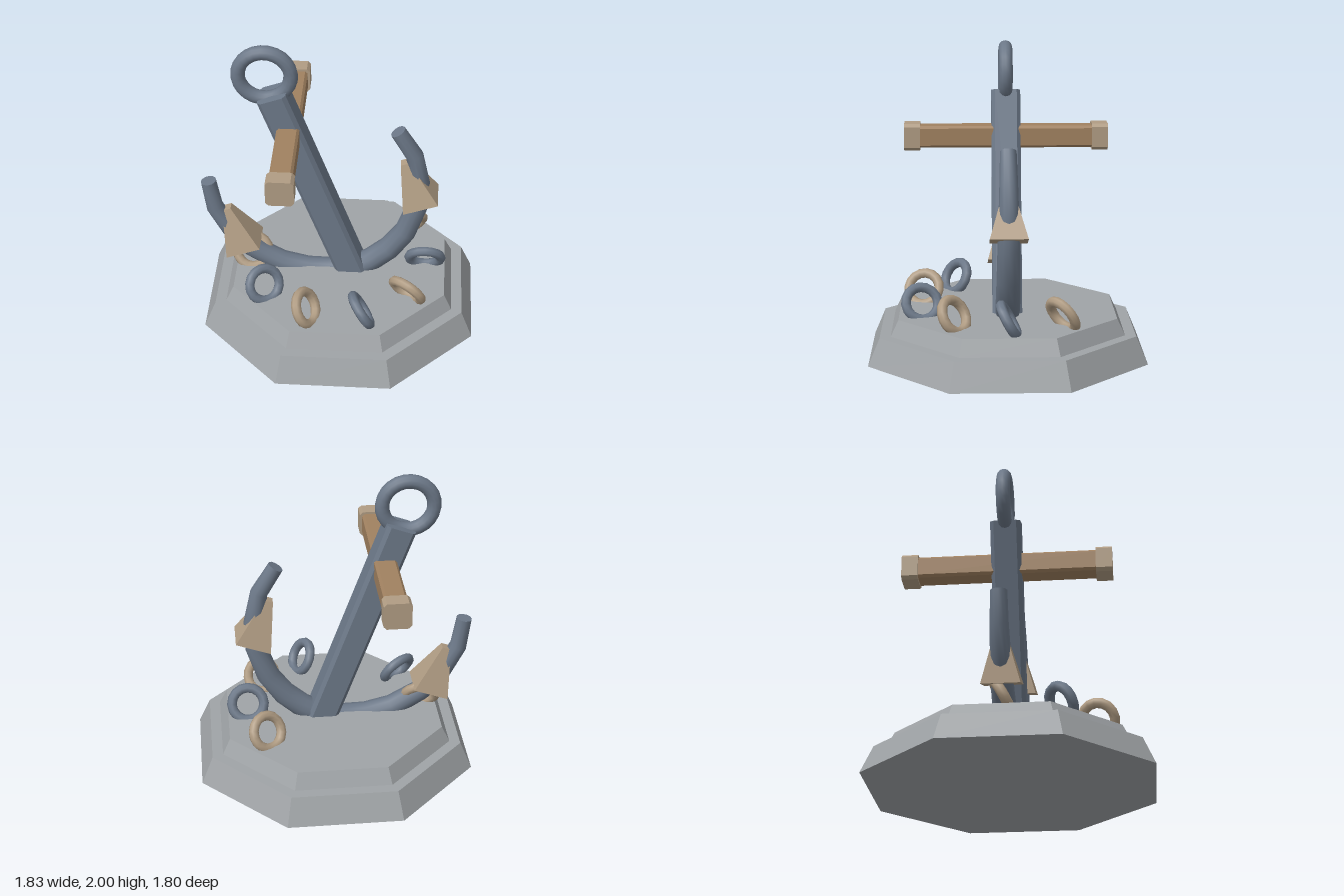
import * as THREE from 'three';

const mat = (name, color) => {
  const m = new THREE.MeshStandardMaterial({ color });
  m.name = name;
  return m;
};

export function createModel() {
  const steel = mat('blue grey steel', 0x6c7888);
  const stone = mat('grey stone', 0x9fa3a6);
  const wood = mat('brown wood', 0xa08160);
  const tan = mat('tan metal', 0xb09c83);

  const root = new THREE.Group();
  root.name = 'anchorMonument';
  const add = (parent, name, geo, material) => {
    const mesh = new THREE.Mesh(geo, material);
    mesh.name = name;
    parent.add(mesh);
    return mesh;
  };
  const flat = (geo) => {
    const g = geo.toNonIndexed();
    g.computeVertexNormals();
    return g;
  };

  // Square bar with chamfered long edges, running along z from z0 to z1
  const bar = (h, c, z0, z1) => {
    const k = h - c;
    const pts = [[h, -k], [h, k], [k, h], [-k, h], [-h, k], [-h, -k], [-k, -h], [k, -h]];
    const shape = new THREE.Shape(pts.map(([x, y]) => new THREE.Vector2(x, y)));
    return new THREE.ExtrudeGeometry(shape, { depth: z1 - z0, bevelEnabled: false }).translate(0, 0, z0);
  };

  // Tapered round tube through [x, y, radius] points in the xy plane, with a closed tip
  const taperedTube = (pts, sides = 12) => {
    const pos = [], idx = [];
    pts.forEach(([x, y, r], i) => {
      const a = pts[Math.max(i - 1, 0)], b = pts[Math.min(i + 1, pts.length - 1)];
      const t = new THREE.Vector2(b[0] - a[0], b[1] - a[1]).normalize();
      for (let j = 0; j <= sides; j++) {
        const s = (j / sides) * Math.PI * 2;
        pos.push(x + t.y * Math.cos(s) * r, y - t.x * Math.cos(s) * r, -Math.sin(s) * r);
        if (i && j) {
          const p = i * (sides + 1) + j, q = p - sides - 1;
          idx.push(q - 1, q, p - 1, q, p, p - 1);
        }
      }
    });
    const g = new THREE.BufferGeometry();
    // Separate tip ring keeps the end edge sharp
    const n = pos.length / 3;
    for (let j = 0; j <= sides; j++) {
      const k = (n - sides - 1 + j) * 3;
      pos.push(pos[k], pos[k + 1], pos[k + 2]);
      if (j > 1) idx.push(n, n + j - 1, n + j);
    }
    g.setAttribute('position', new THREE.Float32BufferAttribute(pos, 3));
    g.setIndex(idx);
    g.computeVertexNormals();
    // Smooth the seam
    const nor = g.attributes.normal;
    for (let i = 0; i < pts.length; i++) {
      const a = i * (sides + 1), b = a + sides;
      const v = new THREE.Vector3().fromBufferAttribute(nor, a)
        .add(new THREE.Vector3().fromBufferAttribute(nor, b)).normalize();
      nor.setXYZ(a, v.x, v.y, v.z);
      nor.setXYZ(b, v.x, v.y, v.z);
    }
    return g;
  };

  // Two-tier octagonal plinth
  const tier = (name, top, bottom, y0, y1) => {
    const f = 1 / Math.cos(Math.PI / 8);
    const g = new THREE.CylinderGeometry(top * f, bottom * f, y1 - y0, 8).rotateY(Math.PI / 8);
    add(root, name, flat(g), stone).position.set(0.015, (y0 + y1) / 2, 0);
  };
  tier('lowerPlinth', 0.825, 0.9, 0, 0.18);
  tier('upperPlinth', 0.705, 0.755, 0.18, 0.285);

  // Leaning anchor: shank, ring, arms and flukes
  const anchor = new THREE.Group();
  anchor.name = 'anchor';
  anchor.position.set(0.093, 0.25, 0);
  anchor.rotation.z = THREE.MathUtils.degToRad(20);
  root.add(anchor);

  add(anchor, 'shank', bar(0.097, 0.024, -0.03, 1.5).rotateX(-Math.PI / 2), steel);
  add(anchor, 'topRing', new THREE.TorusGeometry(0.167, 0.046, 12, 24), steel).position.y = 1.638;

  const armPath = [
    [0, 0, 0.08], [0.15, 0.03, 0.08], [0.295, 0.088, 0.079], [0.446, 0.195, 0.076],
    [0.588, 0.371, 0.071], [0.667, 0.555, 0.065], [0.702, 0.77, 0.058], [0.66, 0.98, 0.052],
  ];
  for (const side of [1, -1]) {
    const label = side > 0 ? 'left' : 'right';
    // The arm is symmetric in z, so a half turn mirrors it
    add(anchor, label + 'Arm', taperedTube(armPath), steel).rotation.y = side > 0 ? 0 : Math.PI;
    const fluke = new THREE.CylinderGeometry(0.03 * Math.SQRT2, 0.12 * Math.SQRT2, 0.322, 4).rotateY(Math.PI / 4);
    add(anchor, label + 'Fluke', flat(fluke), tan).position.set(side * 0.628, 0.579, 0);
  }

  // Wooden cross stock with end caps
  const stock = new THREE.Group();
  stock.name = 'stock';
  stock.position.set(-0.318, 1.382, 0);
  root.add(stock);
  add(stock, 'stockBeam', bar(0.073, 0.016, -0.6, 0.6), wood);
  add(stock, 'frontStockCap', bar(0.088, 0.02, 0.572, 0.678), tan);
  add(stock, 'backStockCap', bar(0.088, 0.02, -0.678, -0.572), tan);

  // Leaning chain links half sunk in the plinth, alternating in colour
  for (let i = -1; i <= 5; i++) {
    const a = (i * Math.PI) / 5;
    const link = new THREE.TorusGeometry(0.108, 0.033, 8, 16).rotateX(0.5).rotateY(-a);
    add(root, 'chainLink' + (i + 2), link, i % 2 ? tan : steel)
      .position.set(0.585 * Math.cos(a), 0.36, 0.585 * Math.sin(a));
  }
  return root;
}
